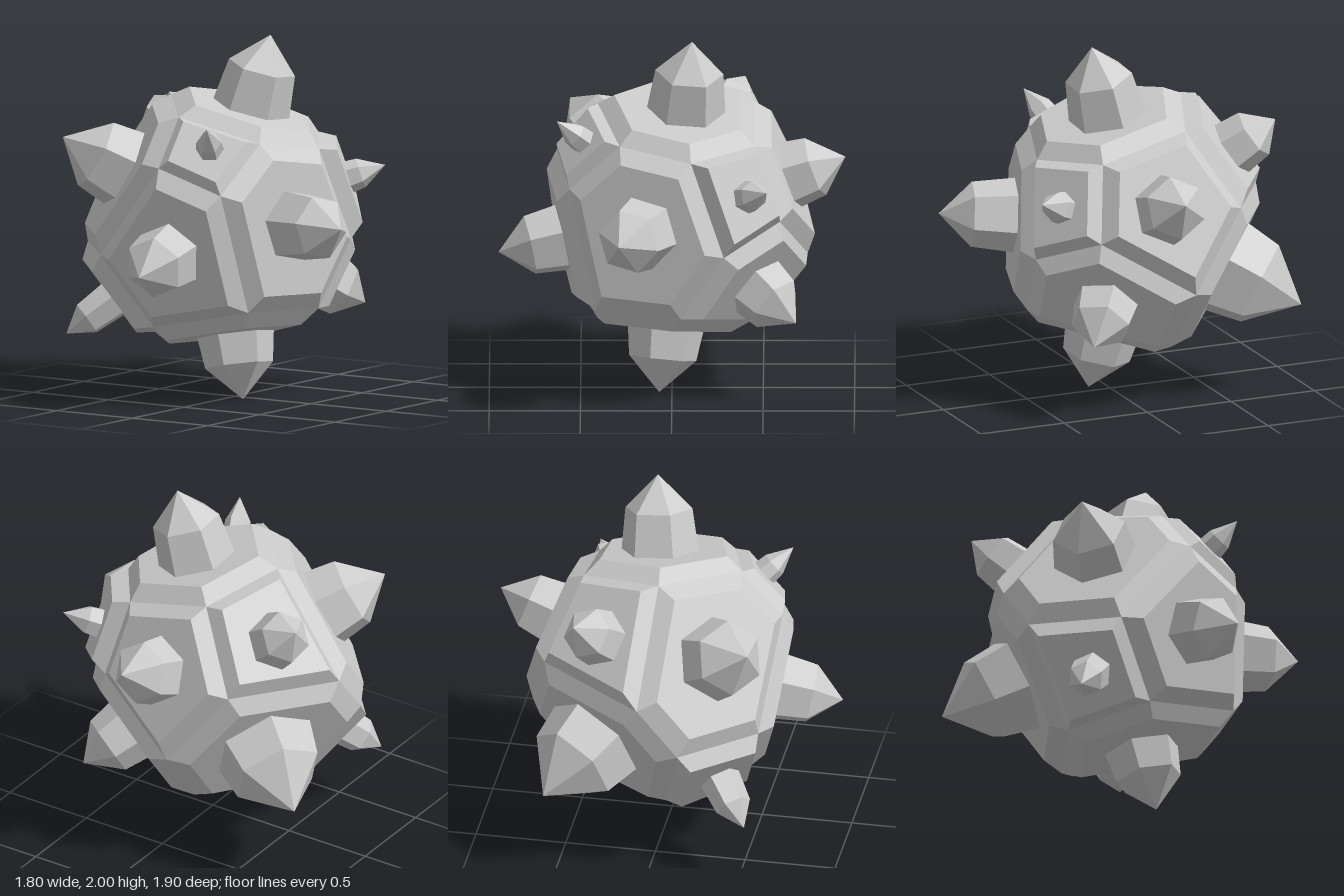
import * as THREE from 'three';

const CENTRE = new THREE.Vector3(-0.105, 0.97, -0.03);

// Spikes: tip x, y, z, base radius, distance of the plate below, twist about own axis
const SPIKES = [
  [0.16, 2.0, -0.11, 0.215, 0.64, 0],
  [0.10, 0.0, 0.07, 0.215, 0.637, 0],
  [0.90, 1.03, 0.29, 0.205, 0.64, Math.PI / 6],
  [0.01, 0.77, 0.95, 0.2, 0.652, 0],
  [-0.81, 1.55, -0.40, 0.165, 0.69, 0],
  [-0.76, 1.44, 0.56, 0.235, 0.615, 0],
  [-0.75, 0.35, 0.54, 0.115, 0.75, 0],
  [0.24, 1.57, 0.63, 0.08, 0.785, 0],
  [0.64, 1.27, -0.52, 0.095, 0.73, 0],
  [0.40, 0.47, -0.68, 0.19, 0.65, 0],
  [-0.03, 1.30, -0.95, 0.2, 0.655, 0],
  [-0.90, 0.52, -0.55, 0.29, 0.594, 0],
].map(([x, y, z, r, d, twist]) => {
  const tip = new THREE.Vector3(x, y, z).sub(CENTRE);
  return { length: tip.length(), n: tip.clone().normalize(), r, d, twist };
});

// Keep the part of a polygon behind the plane n.p = d
function clip(poly, n, d) {
  const out = [];
  poly.forEach((a, i) => {
    const b = poly[(i + 1) % poly.length];
    const da = n.dot(a) - d, db = n.dot(b) - d;
    if (da <= 0) out.push(a);
    if (da * db < 0) out.push(a.clone().lerp(b, da / (da - db)));
  });
  return out;
}

// One armour plate: a flat polygon with bevels falling into the shared grooves
function plateGeometry(plate) {
  const { n, d } = plate;
  const u = new THREE.Vector3(0.31, 0.52, 0.8).cross(n).normalize();
  const v = n.clone().cross(u);
  let poly = [[-2, -2], [2, -2], [2, 2], [-2, 2]].map(([a, b]) =>
    n.clone().multiplyScalar(d).addScaledVector(u, a).addScaledVector(v, b));
  for (const other of SPIKES) if (other !== plate) poly = clip(poly, other.n, other.d);

  // the smallest plates are sunk a little so they do not stand proud
  const sink = Math.min(1, 0.745 / d);
  const middle = new THREE.Vector3();
  poly.forEach(p => middle.addScaledVector(p, sink / poly.length));
  const rim = poly.map(p => p.clone().multiplyScalar(sink).lerp(middle, 0.29));
  const groove = poly.map(p => p.clone().multiplyScalar(0.88));
  const points = [];
  rim.forEach((a, i) => {
    const j = (i + 1) % rim.length;
    points.push(middle, a, rim[j], a, groove[i], groove[j], a, groove[j], rim[j]);
  });
  const geometry = new THREE.BufferGeometry().setFromPoints(points);
  geometry.computeVertexNormals();
  return geometry;
}

// Six-sided tapered shaft with a pointed cap
function spikeGeometry({ length, r, d, twist }) {
  const cap = Math.max(r * 0.88, 0.14);
  const shoulder = Math.max(length - cap, d + 0.02);
  const profile = [[r * 1.08, d - 0.15], [r * 0.87, shoulder], [0, length]]
    .map(p => new THREE.Vector2(...p));
  return new THREE.LatheGeometry(profile, 6).rotateY(twist);
}

export function createModel() {
  const model = new THREE.Group();
  model.name = 'spikedBall';
  const material = new THREE.MeshStandardMaterial({ color: 0xcccccc, flatShading: true });
  const up = new THREE.Vector3(0, 1, 0);

  const body = new THREE.Group();
  body.name = 'body';
  const spikes = new THREE.Group();
  spikes.name = 'spikes';

  SPIKES.forEach((s, i) => {
    const plate = new THREE.Mesh(plateGeometry(s), material);
    plate.name = `plate${i + 1}`;
    body.add(plate);

    const spike = new THREE.Mesh(spikeGeometry(s), material);
    spike.name = `spike${i + 1}`;
    spike.quaternion.setFromUnitVectors(up, s.n);
    spikes.add(spike);
  });

  for (const part of [body, spikes]) {
    part.position.copy(CENTRE);
    model.add(part);
  }
  return model;
}
